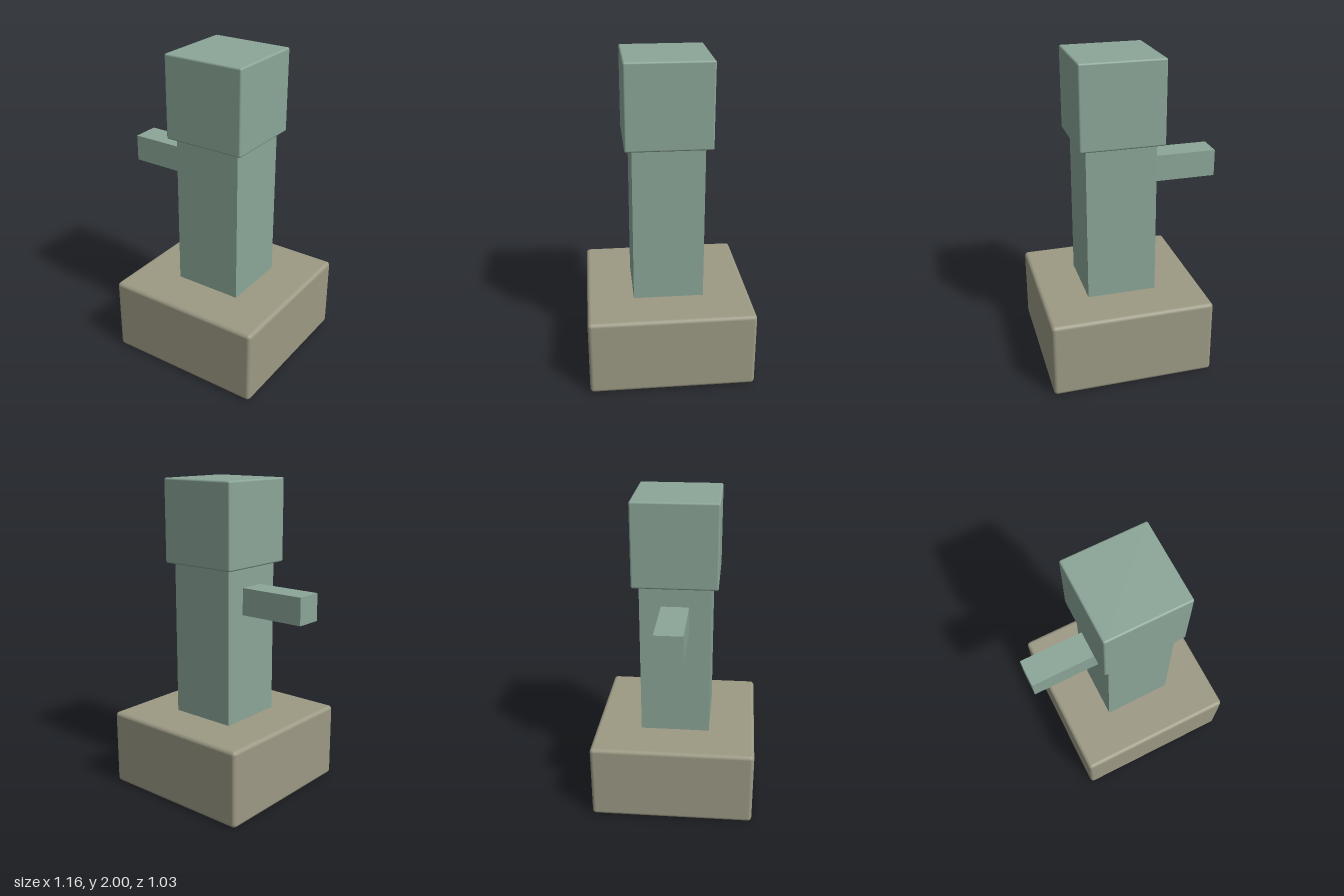
import * as THREE from 'three';
import { RoundedBoxGeometry } from 'three/addons/geometries/RoundedBoxGeometry.js';

export function createModel() {
  const group = new THREE.Group();
  const green = new THREE.MeshStandardMaterial({ color: 0x8ba698 });
  const stone = new THREE.MeshStandardMaterial({ color: 0x9c9984 });

  // Box spanning two corners, with softened edges when a radius is given
  function block(name, min, max, material, radius = 0) {
    const size = max.map((v, i) => v - min[i]);
    const geometry = radius
      ? new RoundedBoxGeometry(...size, 3, radius)
      : new THREE.BoxGeometry(...size);
    const mesh = new THREE.Mesh(geometry, material);
    mesh.name = name;
    mesh.position.set(...max.map((v, i) => (v + min[i]) / 2));
    group.add(mesh);
  }

  // Plinth, post and larger cap share one axis
  block('base', [-0.45, 0, -0.515], [0.58, 0.49, 0.515], stone, 0.025);
  block('post', [-0.154, 0.48, -0.22], [0.286, 1.485, 0.22], green);
  block('cap', [-0.198, 1.475, -0.263], [0.33, 2, 0.263], green, 0.012);

  // Side arm reaching out from the post
  block('arm', [-0.585, 1.18, -0.086], [-0.15, 1.35, 0.086], green);

  return group;
}
